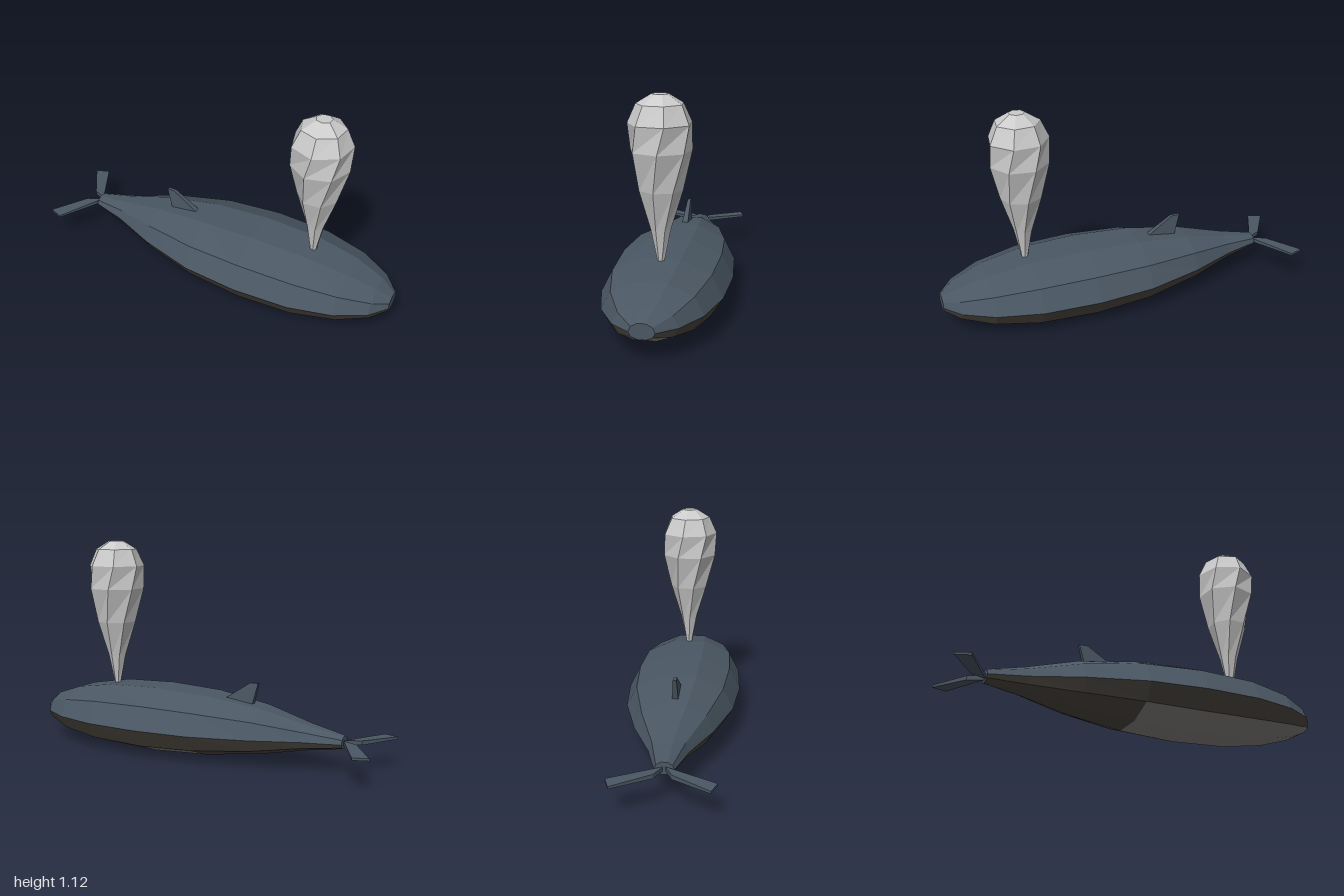
import * as THREE from 'three';

const material = (color) => new THREE.MeshStandardMaterial({ color, flatShading: true });

// Skins a list of closed rings; keep(station, side) picks the panels, caps close both ends.
function loft(rings, keep = () => true, caps = true) {
  const out = [];
  const n = rings[0].length;
  const tri = (a, b, c) => out.push(...a, ...b, ...c);
  for (let i = 0; i < rings.length - 1; i++) {
    for (let j = 0; j < n; j++) {
      if (!keep(i, j)) continue;
      const k = (j + 1) % n;
      tri(rings[i][j], rings[i + 1][j], rings[i][k]);
      tri(rings[i][k], rings[i + 1][j], rings[i + 1][k]);
    }
  }
  if (caps) {
    const first = rings[0], last = rings[rings.length - 1];
    for (let j = 1; j < n - 1; j++) {
      tri(first[0], first[j], first[j + 1]);
      tri(last[0], last[j + 1], last[j]);
    }
  }
  const geometry = new THREE.BufferGeometry();
  geometry.setAttribute('position', new THREE.Float32BufferAttribute(out, 3));
  geometry.computeVertexNormals();
  return geometry;
}

export function createModel() {
  const group = new THREE.Group();
  const blue = material(0x4a5763);
  const dark = material(0x4c4740);
  const pale = material(0x858381);
  const grey = material(0xcccccc);

  const add = (name, geometry, mat) => {
    const mesh = new THREE.Mesh(geometry, mat);
    mesh.name = name;
    group.add(mesh);
  };

  // Body: ten-sided stations of x, half width, height above and depth below the side seam
  const seam = 0.157;
  const stations = [
    [-0.8, 0.048, 0.037, 0.028],
    [-0.61, 0.1, 0.078, 0.058],
    [-0.36, 0.202, 0.143, 0.108],
    [-0.06, 0.286, 0.186, 0.146],
    [0.24, 0.312, 0.2, 0.162],
    [0.54, 0.298, 0.189, 0.152],
    [0.77, 0.24, 0.149, 0.119],
    [0.925, 0.152, 0.094, 0.074],
    [1.0, 0.06, 0.044, 0.035],
  ];
  const bodyRings = stations.map(([x, w, up, down]) =>
    Array.from({ length: 10 }, (_, j) => {
      const a = (j * Math.PI) / 5;
      const s = Math.sin(a);
      return [x, seam + s * (s > 0 ? up : down), w * Math.cos(a)];
    }));
  const isBelly = (i, j) => i >= 3 && j >= 6 && j <= 8;
  add('back', loft(bodyRings, (i, j) => j < 5), blue);
  add('underside', loft(bodyRings, (i, j) => j >= 5 && !isBelly(i, j), false), dark);
  add('belly', loft(bodyRings, isBelly, false), pale);

  // Dorsal fin: base and swept-back tip
  const finRing = (y0, front, y1, rear, h) =>
    [[front, y0, -h], [front, y0, h], [rear, y1, h], [rear, y1, -h]];
  add('dorsalFin', loft([
    finRing(0.315, -0.14, 0.295, -0.3, 0.016),
    finRing(0.41, -0.285, 0.41, -0.33, 0.009),
  ]), blue);

  // Tail flukes, mirrored across z
  for (const s of [1, -1]) {
    const flukeRing = (xf, zf, xb, zb, h) => {
      const ring = [
        [xf, seam + h, s * zf], [xf, seam - h, s * zf],
        [xb, seam - h, s * zb], [xb, seam + h, s * zb],
      ];
      return s > 0 ? ring : ring.reverse();
    };
    add(s > 0 ? 'rightFluke' : 'leftFluke', loft([
      flukeRing(-0.795, 0.005, -0.875, 0.042, 0.011),
      flukeRing(-0.925, 0.251, -1.0, 0.225, 0.006),
    ]), blue);
  }

  // Water spout: twisted seven-sided drop of height, radius pairs
  const spout = [
    [0.335, 0.018], [0.49, 0.049], [0.68, 0.106], [0.865, 0.15],
    [0.99, 0.155], [1.08, 0.114], [1.125, 0.041],
  ];
  const twist = [-29, -19, -9, 4, 16, 18, 22];
  add('waterSpout', loft(spout.map(([y, r], i) =>
    Array.from({ length: 7 }, (_, j) => {
      const a = (j * 2 * Math.PI) / 7 - THREE.MathUtils.degToRad(twist[i]);
      return [0.55 + r * Math.cos(a), y, r * Math.sin(a)];
    }))), grey);

  return group;
}
